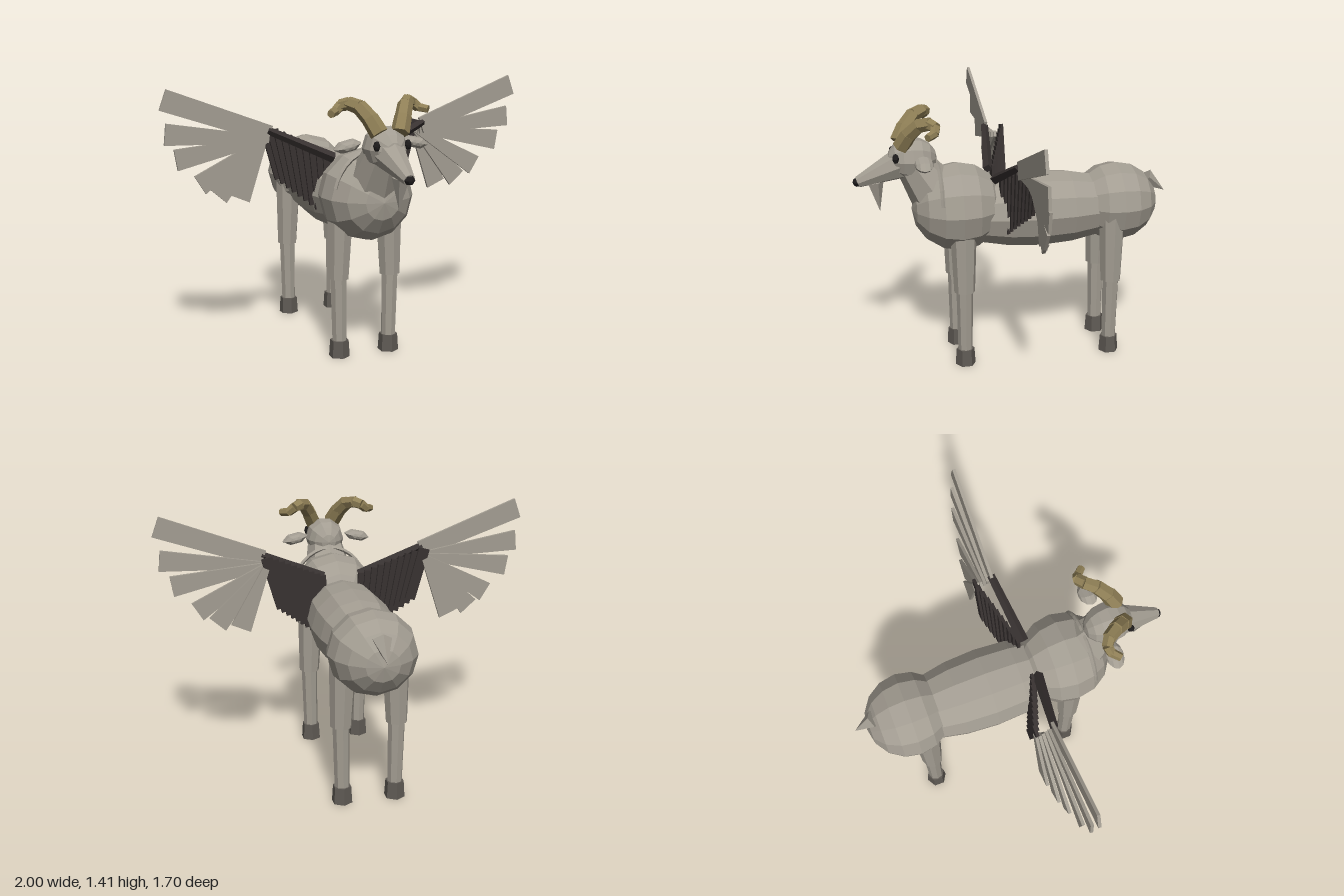
import * as THREE from 'three';

const V = (x, y, z) => new THREE.Vector3(x, y, z);
const mat = (name, color) => {
  const m = new THREE.MeshStandardMaterial({ color, flatShading: true });
  m.name = name;
  return m;
};

export function createModel() {
  const fur = mat('grey fur', 0xa39d92);
  const horn = mat('horn tan', 0x8f7f56);
  const hoofMat = mat('hoof grey', 0x5f5a54);
  const dark = mat('dark feather', 0x383231);
  const black = mat('black', 0x1e1c1c);
  const root = new THREE.Group();
  root.name = 'wingedGoat';

  const add = (name, geo, material, parent = root) => {
    const m = new THREE.Mesh(geo, material);
    m.name = name;
    parent.add(m);
    return m;
  };
  // Faceted ellipsoid with its poles along z
  const blob = (name, c, r, material, w = 12, h = 8) => {
    const g = new THREE.SphereGeometry(1, w, h).rotateX(Math.PI / 2);
    g.scale(...r).translate(...c);
    return add(name, g, material);
  };
  // Tapered cylinder from point a to point b
  const limb = (name, a, b, ra, rb, sides, material, parent) => {
    const d = b.clone().sub(a);
    const g = new THREE.CylinderGeometry(rb, ra, d.length(), sides);
    g.applyQuaternion(new THREE.Quaternion().setFromUnitVectors(V(0, 1, 0), d.normalize()));
    const mid = a.clone().add(b).multiplyScalar(0.5);
    g.translate(mid.x, mid.y, mid.z);
    return add(name, g, material, parent);
  };
  // Flat feather in the xy plane from a to b
  const feather = (name, a, b, wa, wb, thick, material, parent) => {
    const d = new THREE.Vector2(b.x - a.x, b.y - a.y).normalize();
    const corner = (p, w) => new THREE.Vector2(p.x - d.y * w / 2, p.y + d.x * w / 2);
    const s = new THREE.Shape([corner(a, wa), corner(a, -wa), corner(b, -wb), corner(b, wb)]);
    const g = new THREE.ExtrudeGeometry(s, { depth: thick, bevelEnabled: false });
    g.translate(0, 0, a.z - thick / 2);
    return add(name, g, material, parent);
  };

  // Body
  blob('chest', [0, 0.87, 0.305], [0.242, 0.24, 0.245], fur);
  blob('torso', [0, 0.83, -0.13], [0.215, 0.205, 0.55], fur, 12, 10);
  blob('rump', [0, 0.842, -0.565], [0.228, 0.216, 0.228], fur);
  limb('tail', V(0, 0.96, -0.74), V(0, 0.882, -0.85), 0.05, 0.001, 5, fur);

  // Neck and head
  limb('neck', V(0, 0.95, 0.42), V(0, 1.13, 0.54), 0.14, 0.095, 8, fur);
  blob('head', [0, 1.145, 0.54], [0.108, 0.112, 0.13], fur, 10, 8);
  limb('snout', V(0, 1.12, 0.61), V(0, 1.035, 0.825), 0.082, 0.03, 8, fur);
  blob('nose', [0, 1.035, 0.825], [0.028, 0.025, 0.025], black, 6, 5);
  limb('beard', V(0, 1.03, 0.735), V(0, 0.872, 0.715), 0.045, 0.001, 5, fur);

  // Thin ruff over the shoulders
  const ruff = [];
  for (let i = 0; i <= 10; i++) {
    const t = 0.25 + (Math.PI - 0.5) * i / 10;
    ruff.push(V(0.21 * Math.cos(t), 0.87 + 0.245 * Math.sin(t), 0.41));
  }
  add('ruff', new THREE.TubeGeometry(new THREE.CatmullRomCurve3(ruff), 14, 0.011, 4), fur);

  for (const s of [1, -1]) {
    const side = s > 0 ? 'left' : 'right';
    const P = (x, y, z) => V(s * x, y, z);

    // Eyes and ears
    blob(side + 'Eye', [s * 0.082, 1.17, 0.632], [0.018, 0.027, 0.017], black, 6, 6);
    const ear = blob(side + 'Ear', [0, 0, 0], [0.075, 0.032, 0.048], fur, 6, 6);
    ear.position.set(s * 0.18, 1.158, 0.5);
    ear.rotation.z = -s * 0.22;

    // Curled horn of chained segments
    const hornGroup = new THREE.Group();
    hornGroup.name = side + 'Horn';
    root.add(hornGroup);
    const path = [P(0.055, 1.225, 0.60), P(0.085, 1.29, 0.565), P(0.12, 1.345, 0.515), P(0.155, 1.36, 0.465),
      P(0.19, 1.35, 0.44), P(0.22, 1.325, 0.45), P(0.255, 1.317, 0.485)];
    for (let i = 0; i < path.length - 1; i++) {
      const r = 0.046 - i * 0.0045;
      const end = path[i + 1].clone().lerp(path[i], -0.12);
      limb('hornSegment', path[i], end, r, r - 0.003, 6, horn, hornGroup);
    }

    // Legs
    for (const [end, z] of [['Front', 0.298], ['Back', -0.512]]) {
      limb(side + end + 'UpperLeg', P(0.145, 0.435, z), P(0.135, 0.8, z), 0.056, 0.072, 8, fur);
      limb(side + end + 'LowerLeg', P(0.14, 0.09, z), P(0.145, 0.45, z), 0.039, 0.045, 8, fur);
      limb(side + end + 'Hoof', P(0.14, 0.01, z), P(0.14, 0.1, z), 0.055, 0.049, 6, hoofMat);
    }

    // Wing: arm bar, dark slats and a fan of flight feathers
    const wing = new THREE.Group();
    wing.name = side + 'Wing';
    root.add(wing);
    limb('wingArm', P(0.1, 1.035, 0.12), P(0.44, 1.19, 0.07), 0.028, 0.02, 4, dark, wing);
    const n = 10;
    for (let i = 0; i < n; i++) {
      const t = i / (n - 1);
      const z = 0.09 - 0.11 * t;
      feather('covertFeather', P(0.12 + 0.305 * t, 1.05 + 0.145 * t, z),
        P(0.1 + 0.25 * t, 0.71 + 0.21 * t, z), 0.06, 0.055, 0.016, dark, wing);
    }
    const tips = [[0.98, 1.37], [0.97, 1.195], [0.915, 1.06], [0.79, 0.92], [0.69, 0.85], [0.57, 0.825]];
    tips.forEach(([x, y], i) => {
      const z = 0.067 - i * 0.018;
      feather('flightFeather', P(0.43, i ? 1.14 : 1.17, z), P(x, y, z),
        i ? 0.035 : 0.09, 0.11, 0.016, fur, wing);
    });
  }
  return root;
}
